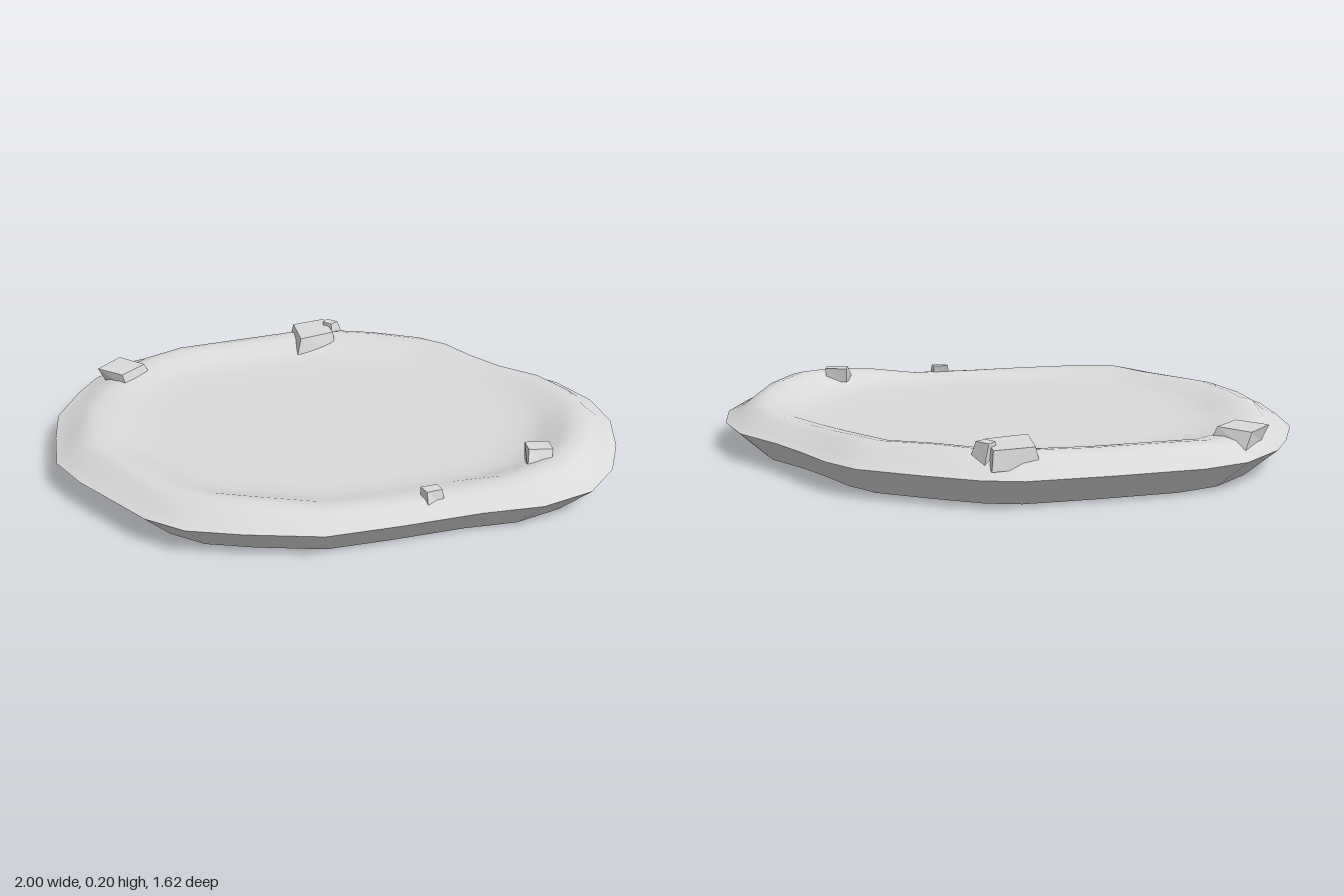
import * as THREE from 'three';

// Rim of the floe, running round from the back: x, z, height of the ridge just inside
const RIM = [
  [0.11, -0.815, 0.165], [0.24, -0.79, 0.165], [0.37, -0.735, 0.155], [0.51, -0.685, 0.15],
  [0.69, -0.64, 0.155], [0.835, -0.54, 0.16], [0.935, -0.4, 0.165], [0.985, -0.22, 0.18],
  [1, -0.05, 0.185], [0.96, 0.12, 0.175], [0.835, 0.265, 0.16], [0.66, 0.375, 0.14],
  [0.44, 0.54, 0.14], [0.24, 0.68, 0.145], [0, 0.76, 0.16], [-0.18, 0.805, 0.165],
  [-0.33, 0.79, 0.155], [-0.64, 0.67, 0.165], [-0.78, 0.59, 0.155], [-0.88, 0.44, 0.165],
  [-0.965, 0.29, 0.14], [-0.995, 0.1, 0.14], [-1, -0.03, 0.14], [-0.95, -0.21, 0.15],
  [-0.85, -0.34, 0.16], [-0.62, -0.535, 0.16], [-0.41, -0.7, 0.165], [-0.29, -0.75, 0.165],
  [-0.1, -0.785, 0.17],
];
const EDGE = 0.1, FLOOR = 0.115;

// Smooth skin across closed rings of points
function loft(rings) {
  const n = rings[0].length, index = [];
  for (let r = 0; r + 1 < rings.length; r++) {
    for (let i = 0; i < n; i++) {
      const j = (i + 1) % n, a = r * n, b = a + n;
      index.push(a + i, b + i, b + j, a + i, b + j, a + j);
    }
  }
  const geo = new THREE.BufferGeometry();
  geo.setAttribute('position', new THREE.Float32BufferAttribute(rings.flat(2), 3));
  geo.setIndex(index);
  geo.computeVertexNormals();
  return geo;
}

// Rim scaled towards the middle, with a height rule
const ring = (f, height) => RIM.map(([x, z, crest]) => [x * f, height(crest), z * f]);

// Flat-faced block between two four-cornered faces
function block(top, bottom) {
  const pos = [];
  const quad = (a, b, c, d) => pos.push(...a, ...b, ...c, ...a, ...c, ...d);
  quad(top[0], top[3], top[2], top[1]);
  quad(...bottom);
  for (let i = 0; i < 4; i++) {
    const j = (i + 1) % 4;
    quad(bottom[i], top[i], top[j], bottom[j]);
  }
  const geo = new THREE.BufferGeometry();
  geo.setAttribute('position', new THREE.Float32BufferAttribute(pos, 3));
  geo.computeVertexNormals();
  return geo;
}

// Loose blocks: height range, then top and bottom corners as x, z
const BLOCKS = [
  { name: 'rightSlab', y: [0.115, 0.17],
    top: [[-0.93, -0.107], [-0.81, -0.085], [-0.84, 0.03], [-0.955, 0.015]],
    bottom: [[-0.92, -0.135], [-0.79, -0.1], [-0.825, 0.03], [-0.935, 0]] },
  { name: 'backSlab', y: [0.12, 0.185],
    top: [[-0.405, -0.615], [-0.31, -0.71], [-0.225, -0.6], [-0.32, -0.49]],
    bottom: [[-0.42, -0.61], [-0.31, -0.72], [-0.21, -0.59], [-0.325, -0.465]] },
  { name: 'backChip', y: [0.13, 0.198],
    top: [[-0.285, -0.69], [-0.235, -0.68], [-0.25, -0.645], [-0.29, -0.655]],
    bottom: [[-0.275, -0.7], [-0.215, -0.69], [-0.24, -0.635], [-0.29, -0.65]] },
  { name: 'leftBlock', y: [0.14, 0.195],
    top: [[0.71, 0.04], [0.785, 0.005], [0.81, 0.055], [0.735, 0.085]],
    bottom: [[0.715, 0.045], [0.785, 0.01], [0.815, 0.095], [0.745, 0.13]] },
  { name: 'frontChip', y: [0.1, 0.165],
    top: [[0.5, 0.36], [0.525, 0.385], [0.485, 0.42], [0.455, 0.395]],
    bottom: [[0.51, 0.365], [0.54, 0.39], [0.5, 0.44], [0.46, 0.41]] },
];

export function createModel() {
  const group = new THREE.Group();
  const ice = new THREE.MeshStandardMaterial({ color: 0xdadada, side: THREE.DoubleSide });
  ice.name = 'pale ice';
  const add = (name, geo) => {
    const mesh = new THREE.Mesh(geo, ice);
    mesh.name = name;
    group.add(mesh);
  };

  // Sloping wall, open underneath
  add('floeWall', loft([ring(0.89, () => 0), ring(1, () => EDGE)]));

  // Upper surface: rim, uneven raised ridge, then a shallow level middle
  const mix = (base, t) => crest => base + (crest - base) * t;
  add('floeTop', loft([
    ring(1, () => EDGE),
    ring(0.95, mix(EDGE, 0.3)),
    ring(0.905, mix(EDGE, 0.85)),
    ring(0.86, mix(FLOOR, 1)),
    ring(0.81, mix(FLOOR, 0.85)),
    ring(0.75, mix(FLOOR, 0.4)),
    ring(0.69, mix(FLOOR, 0.1)),
    ring(0.6, () => FLOOR),
    ring(0.3, () => FLOOR),
    ring(0, () => FLOOR),
  ]));

  // Broken blocks resting on the ridge
  for (const { name, y, top, bottom } of BLOCKS) {
    const at = (corners, h) => corners.map(([x, z]) => [x, h, z]);
    add(name, block(at(top, y[1]), at(bottom, y[0])));
  }
  return group;
}
